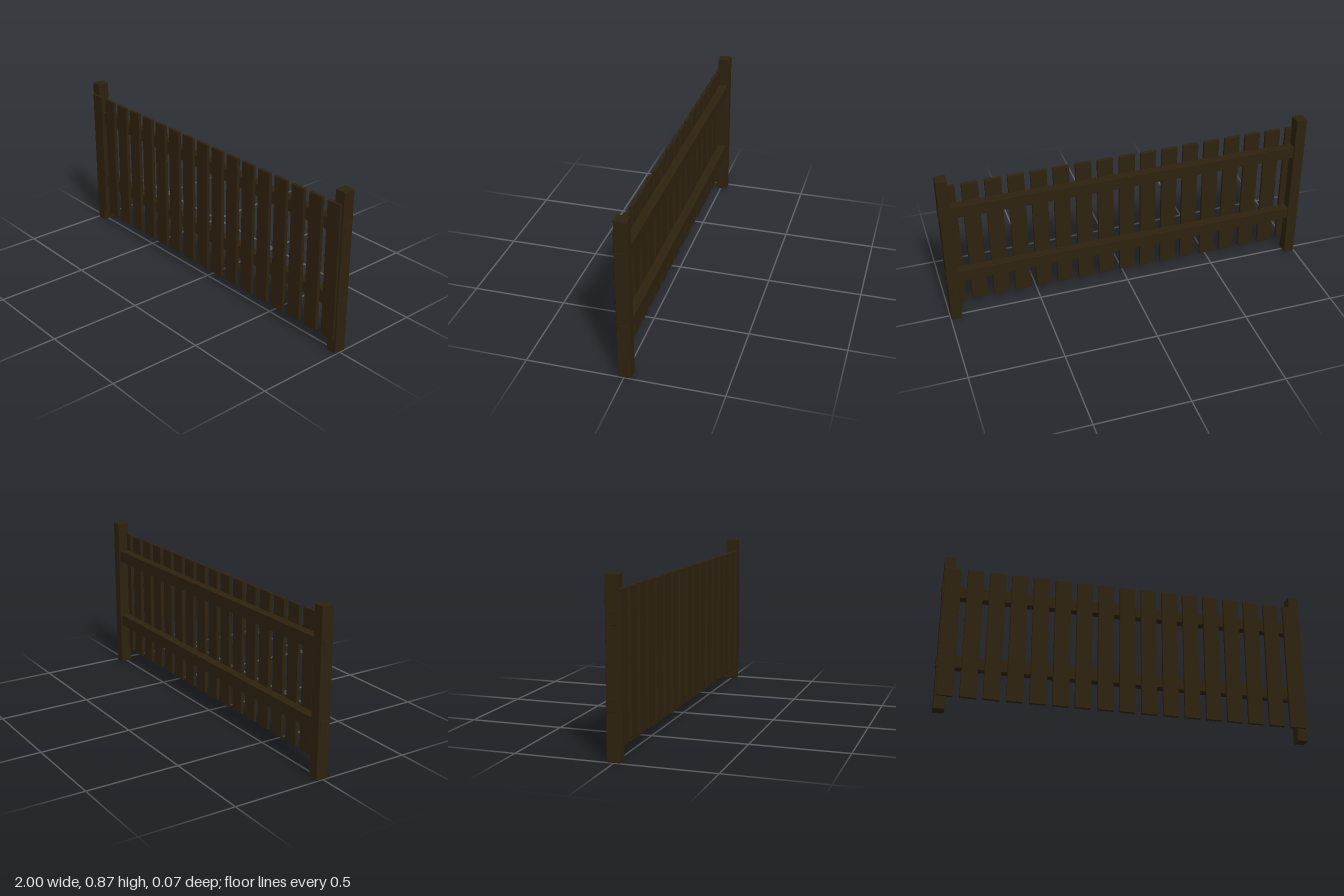
import * as THREE from 'three';
import { RoundedBoxGeometry } from 'three/addons/geometries/RoundedBoxGeometry.js';

export function createModel() {
  const fence = new THREE.Group();
  fence.name = 'picketFence';
  const wood = new THREE.MeshStandardMaterial({ color: 0x2e220f });
  wood.name = 'darkWood';

  // A board with softened edges, given by its limits on each axis
  function board(name, [x0, x1], [y0, y1], [z0, z1], bevel) {
    const geometry = new RoundedBoxGeometry(x1 - x0, y1 - y0, z1 - z0, 2, bevel);
    const mesh = new THREE.Mesh(geometry, wood);
    mesh.name = name;
    mesh.position.set((x0 + x1) / 2, (y0 + y1) / 2, (z0 + z1) / 2);
    fence.add(mesh);
  }

  // End posts
  board('leftPost', [0.939, 0.997], [0, 0.866], [-0.036, 0.029], 0.003);
  board('rightPost', [-0.997, -0.939], [0, 0.866], [-0.036, 0.029], 0.003);

  // Horizontal rails, with ends just proud of the posts
  board('upperRail', [-1, 1], [0.635, 0.701], [-0.027, 0.02], 0.002);
  board('lowerRail', [-1, 1], [0.235, 0.301], [-0.027, 0.02], 0.002);

  // Evenly spaced pickets on the front of the rails
  const count = 17, spacing = 0.118, halfWidth = 0.043;
  for (let i = 0; i < count; i++) {
    const x = -0.003 + (i - (count - 1) / 2) * spacing;
    board(`picket${i + 1}`, [x - halfWidth, x + halfWidth], [0.07, 0.8], [0.019, 0.037], 0.004);
  }
  return fence;
}
